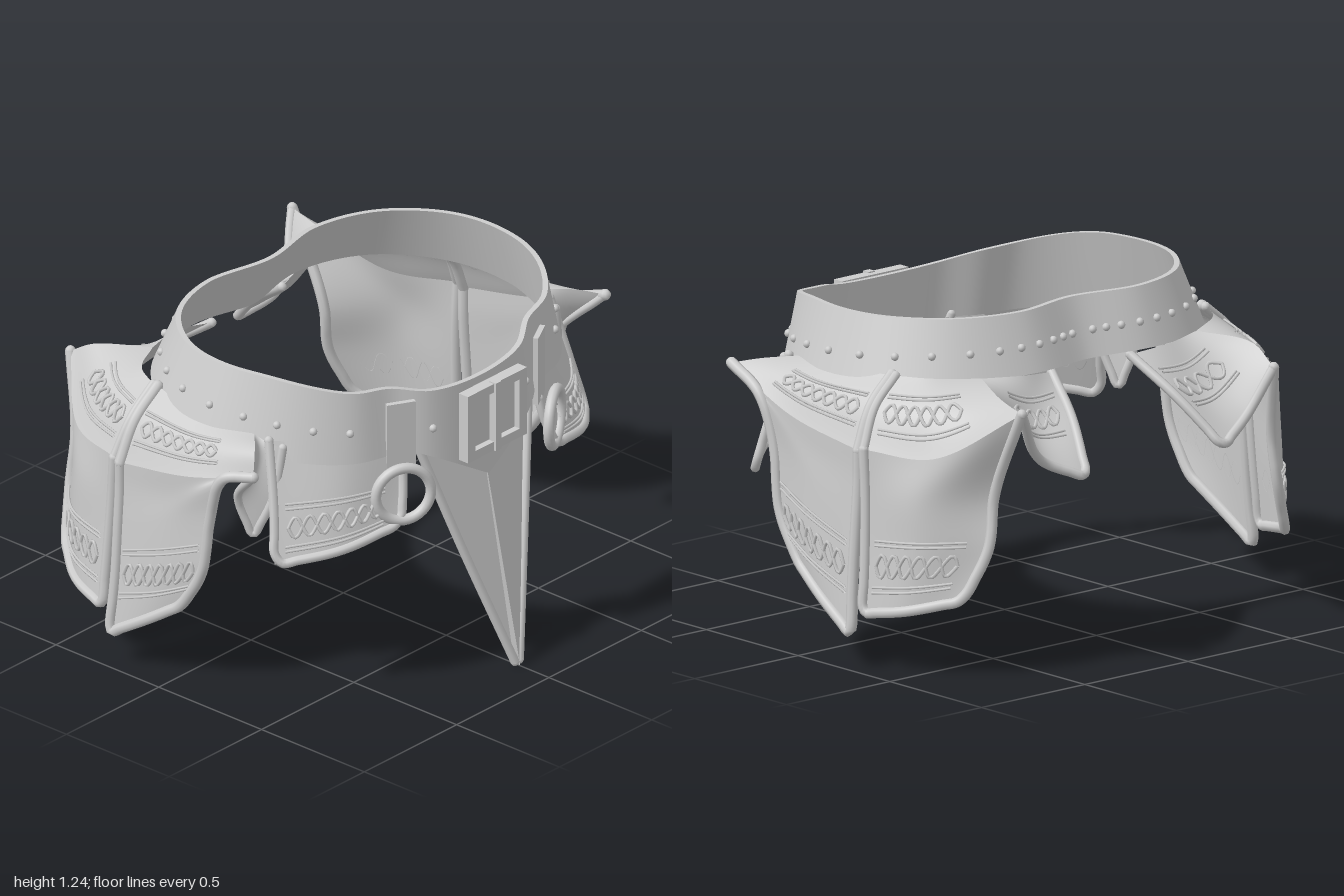
import * as THREE from 'three';
import { toCreasedNormals } from 'three/addons/utils/BufferGeometryUtils.js';

const grey = new THREE.MeshStandardMaterial({ color: 0xcccccc, side: THREE.DoubleSide });
grey.name = 'plain grey';

const lerp = THREE.MathUtils.lerp;
const clamp01 = (t) => THREE.MathUtils.clamp(t, 0, 1);

function add(parent, name, geometry) {
  const m = new THREE.Mesh(geometry, grey);
  m.name = name;
  parent.add(m);
  return m;
}

// surface from a function of (u, v)
function grid(fn, nu, nv) {
  const pos = [], idx = [];
  for (let i = 0; i <= nu; i++)
    for (let j = 0; j <= nv; j++) pos.push(...fn(i / nu, j / nv).toArray());
  for (let i = 0; i < nu; i++)
    for (let j = 0; j < nv; j++) {
      const a = i * (nv + 1) + j, b = a + nv + 1;
      idx.push(a, a + 1, b, b, a + 1, b + 1);
    }
  const g = new THREE.BufferGeometry();
  g.setAttribute('position', new THREE.Float32BufferAttribute(pos, 3));
  g.setIndex(idx);
  g.computeVertexNormals();
  return g;
}

function pipe(parent, name, pts, r = 0.018, seg = 40) {
  add(parent, name, new THREE.TubeGeometry(new THREE.CatmullRomCurve3(pts), seg, r, 8));
  for (const p of [pts[0], pts[pts.length - 1]])
    add(parent, name + 'End', new THREE.SphereGeometry(r, 8, 6)).position.copy(p);
}

// smooth sheet through a few rows of points; s mirrors it across x
function sheet(s, rows) {
  const curves = rows.map((r) => new THREE.CatmullRomCurve3(r.map(([x, y, z]) => new THREE.Vector3(s * x, y, z))));
  const at = (u, v) => new THREE.CatmullRomCurve3(curves.map((c) => c.getPoint(clamp01(u)))).getPoint(clamp01(v));
  // point lifted off the outer face
  const lifted = (u, v, h = 0.006) => {
    const du = at(u + 0.01, v).sub(at(u - 0.01, v)), dv = at(u, v + 0.01).sub(at(u, v - 0.01));
    const n = du.cross(dv).normalize(), p = at(u, v);
    if (n.x * p.x + n.z * p.z + n.y * 0.6 < 0) n.negate();
    return p.addScaledVector(n, h);
  };
  return { at, lifted };
}

const edge = (f, u0, v0, u1, v1, n = 8) =>
  Array.from({ length: n + 1 }, (_, i) => f(lerp(u0, u1, i / n), lerp(v0, v1, i / n)));

// chain of diamonds between pairs of engraved border lines
function ornament(parent, sh, u0, u1, v, half, count) {
  for (const sign of [-1, 1]) {
    const n = count * 8, pts = [];
    for (let i = 0; i <= n; i++)
      pts.push(sh.lifted(lerp(u0, u1, i / n), v + sign * half * 0.55 * Math.sin((i / 8) * Math.PI)));
    add(parent, 'diamondChain', new THREE.TubeGeometry(new THREE.CatmullRomCurve3(pts), n, 0.007, 5));
    for (const k of [1, 1.25]) {
      const line = edge(sh.lifted, u0 - 0.02, v + sign * half * k, u1 + 0.02, v + sign * half * k, 12);
      add(parent, 'borderLine', new THREE.TubeGeometry(new THREE.CatmullRomCurve3(line), 24, 0.005, 5));
    }
  }
}

// belt centre line, seen from above
const half = [[0.24, 0.63], [0.37, 0.555], [0.53, 0.5], [0.66, 0.35], [0.73, 0.08], [0.69, -0.13], [0.53, -0.32], [0.29, -0.4]];
const beltPath = [[0, 0.66], ...half, [0, -0.355], ...half.map(([x, z]) => [-x, z]).reverse()];
const beltCurve = new THREE.CatmullRomCurve3(beltPath.map(([x, z]) => new THREE.Vector3(x, 0, z)), true);

// t = 0 at the top edge, 1 at the bottom; out = outward offset
function beltPoint(u, t, out = 0) {
  const p = beltCurve.getPointAt(u % 1), d = beltCurve.getTangentAt(u % 1);
  const n = new THREE.Vector3(-d.z, 0, d.x);
  if (n.dot(p) < 0) n.negate();
  const top = 1.24 - 0.12 * clamp01((p.z - 0.2) / 0.46) ** 2;
  let bottom = 1.03 - 0.11 * clamp01((p.z + 0.4) / 0.95);
  if (p.z > 0.5 && Math.abs(p.x) < 0.3) bottom = 0.73 + 0.63 * Math.abs(p.x);
  const flare = lerp(0.09, 0.035, clamp01((p.z - 0.1) / 0.5));
  p.addScaledVector(n, flare * t + out);
  p.y = lerp(top, bottom, t);
  return p;
}

function buildBelt(root) {
  const corners = [[0, 0.012], [1, 0.012], [1, -0.008], [0, -0.008], [0, 0.012]];
  const band = grid((u, v) => beltPoint(u, ...corners[Math.round(v * 4)]), 160, 4);
  add(root, 'belt', toCreasedNormals(band, 0.7));
  const rivets = [0.24, 0.56, 0.68, 0.8, 0.92, 1.05, 1.18, 1.3, 1.42, 1.54, 1.64, 1.72, 1.79, 1.86, 1.92, 1.98];
  for (const d of rivets)
    for (const u of [d / 4.08, 1 - d / 4.08])
      add(root, 'rivet', new THREE.SphereGeometry(0.015, 10, 8)).position.copy(beltPoint(u, 0.56, 0.014));
}

function buildBuckle(root) {
  const rect = (T, w, h) => new T([[-w, -h], [w, -h], [w, h], [-w, h]].map(([x, y]) => new THREE.Vector2(x, y)));
  const frame = rect(THREE.Shape, 0.16, 0.135);
  frame.holes.push(rect(THREE.Path, 0.12, 0.1));
  add(root, 'buckleFrame', new THREE.ExtrudeGeometry(frame, { depth: 0.045, bevelEnabled: false })).position.set(0, 0.98, 0.705);
  add(root, 'bucklePlate', new THREE.BoxGeometry(0.24, 0.2, 0.02)).position.set(0, 0.98, 0.715);
  add(root, 'bucklePin', new THREE.BoxGeometry(0.03, 0.275, 0.03)).position.set(-0.005, 0.982, 0.745);
}

function buildFrontFlap(root) {
  // pointed flap with a centre ridge
  const rows = [[[-0.3, 0.92, 0.62], [0, 0.93, 0.66], [0.3, 0.92, 0.62]], [[-0.015, 0.01, 0.845], [0, 0, 0.86], [0.015, 0.01, 0.845]]];
  const flap = grid((u, v) => new THREE.Vector3(...rows[Math.round(v)][Math.round(u * 2)]), 2, 1);
  add(root, 'frontFlap', toCreasedNormals(flap, 0.1));
  for (const s of [-1, 1])
    pipe(root, 'frontFlapPiping', [new THREE.Vector3(s * 0.3, 0.93, 0.63), new THREE.Vector3(s * 0.16, 0.47, 0.735), new THREE.Vector3(s * 0.012, 0.015, 0.845)], 0.017);
}

function buildSide(s) {
  const g = new THREE.Group();
  g.name = s > 0 ? 'leftSide' : 'rightSide';
  const panel = (name, rows, nu = 28, nv = 20) => {
    const sh = sheet(s, rows);
    add(g, name, grid(sh.at, nu, nv));
    return sh;
  };

  // hanging strap and ring
  const strap = add(g, 'ringStrap', new THREE.BoxGeometry(0.11, 0.27, 0.02));
  strap.position.set(s * 0.375, 0.995, 0.615);
  strap.rotation.y = s * 0.5;
  const ring = add(g, 'ring', new THREE.TorusGeometry(0.105, 0.02, 10, 40));
  ring.position.set(s * 0.41, 0.785, 0.66);
  ring.rotation.y = s * 0.52;

  // short front tasset
  const tasset = panel('frontTasset', [
    [[0.36, 0.96, 0.6], [0.57, 1.0, 0.51], [0.76, 1.02, 0.32]],
    [[0.38, 0.8, 0.63], [0.61, 0.8, 0.55], [0.8, 0.78, 0.38]],
    [[0.42, 0.67, 0.655], [0.65, 0.62, 0.575], [0.84, 0.58, 0.42]]]);
  pipe(g, 'tassetPiping', [...edge(tasset.at, 0, 0.3, 0, 0.9, 4), ...edge(tasset.at, 0.06, 1, 0.94, 1), ...edge(tasset.at, 1, 0.9, 1, 0, 5)], 0.018, 80);
  ornament(g, tasset, 0.18, 0.9, 0.69, 0.17, 7);

  // flared tips differ a little between the two sides
  const frontTip = s > 0 ? [0.94, 1.0, 0.43] : [0.9, 0.94, 0.37];
  const rearTip = s > 0 ? [0.68, 1.01, -0.86] : [0.61, 0.95, -0.78];
  const foldFront = [0.87, 1.02, 0.35], foldRear = [0.61, 1.02, -0.66];
  const seamA = [frontTip, [0.95, 0.87, 0.1], [0.93, 0.8, -0.25]];
  const seamB = [[0.93, 0.81, -0.28], [0.83, 0.81, -0.55], rearTip];

  // folded tongue in front of the side plates
  const tongue = panel('frontTongue', [
    [[0.74, 1.0, 0.37], [0.76, 1.01, 0.32], [0.77, 1.03, 0.26]],
    [[0.77, 0.8, 0.35], [0.82, 0.87, 0.3], foldFront],
    [[0.8, 0.63, 0.28], [0.85, 0.8, 0.25], frontTip]]);
  pipe(g, 'tonguePiping', [...edge(tongue.at, 0, 0, 0, 0.95), ...edge(tongue.at, 0.05, 1, 1, 1)], 0.016, 60);

  // upper bands hanging from the belt
  const bandA = panel('frontUpperBand', [
    [[0.77, 1.03, 0.26], [0.8, 1.03, 0.03], [0.75, 1.05, -0.23]],
    [foldFront, [0.89, 0.97, 0.07], [0.86, 0.95, -0.24]], seamA]);
  ornament(g, bandA, 0.3, 0.92, 0.55, 0.17, 7);
  const bandB = panel('rearUpperBand', [
    [[0.75, 1.05, -0.25], [0.68, 1.05, -0.37], [0.52, 1.04, -0.46]],
    [[0.86, 0.95, -0.26], [0.77, 0.96, -0.47], foldRear], seamB]);
  ornament(g, bandB, 0.1, 0.72, 0.55, 0.2, 6);

  // fluted wing at the back
  const wing = panel('rearWing', [
    [[0.19, 1.01, -0.47], [0.35, 1.03, -0.5], [0.52, 1.04, -0.46]],
    [[0.25, 0.88, -0.65], [0.42, 0.87, -0.63], foldRear],
    [[0.33, 0.71, -0.82], [0.5, 0.79, -0.76], rearTip]]);
  pipe(g, 'wingPiping', [...edge(wing.at, 0, 0, 0, 0.95), ...edge(wing.at, 0.05, 1, 1, 1)], 0.018, 70);
  ornament(g, wing, 0.15, 0.75, 0.42, 0.17, 4);

  // long lower plates
  const lowerA = panel('frontLowerPlate', [seamA,
    [[0.95, 0.92, 0.27], [0.95, 0.78, 0.05], [0.93, 0.7, -0.25]],
    [[0.94, 0.75, 0.2], [0.955, 0.66, 0], [0.94, 0.55, -0.25]],
    [[0.945, 0.5, 0.16], [0.965, 0.42, -0.03], [0.955, 0.35, -0.25]],
    [[0.945, 0.33, 0.06], [0.965, 0.23, -0.09], [0.975, 0.125, -0.26]]]);
  ornament(g, lowerA, 0.1, 0.9, 0.74, 0.09, 7);
  pipe(g, 'frontPlatePiping', [...edge(lowerA.at, 0, 0, 0, 0.97, 12), ...edge(lowerA.at, 0.05, 1, 0.97, 1), ...edge(lowerA.at, 1, 0.97, 1, 0)], 0.021, 110);
  pipe(g, 'frontBandRim', edge(bandA.at, 1, 0, 1, 1), 0.022);

  const lowerB = panel('rearLowerPlate', [seamB,
    [[0.93, 0.65, -0.29], [0.87, 0.66, -0.52], [0.67, 0.68, -0.7]],
    [[0.94, 0.45, -0.3], [0.88, 0.47, -0.52], [0.7, 0.48, -0.7]],
    [[0.96, 0.21, -0.31], [0.91, 0.24, -0.48], [0.78, 0.29, -0.65]]]);
  ornament(g, lowerB, 0.12, 0.82, 0.76, 0.11, 6);
  pipe(g, 'rearPlatePiping', [...edge(lowerB.at, 0, 0, 0, 0.97), ...edge(lowerB.at, 0.05, 1, 0.95, 1), ...edge(lowerB.at, 1, 0.95, 1, 0, 10)], 0.02, 110);
  pipe(g, 'rearBandRim', edge(bandB.at, 0, 0, 0, 1), 0.018);
  return g;
}

export function createModel() {
  const root = new THREE.Group();
  root.name = 'armouredBelt';
  buildBelt(root);
  buildBuckle(root);
  buildFrontFlap(root);
  for (const s of [1, -1]) root.add(buildSide(s));
  return root;
}
